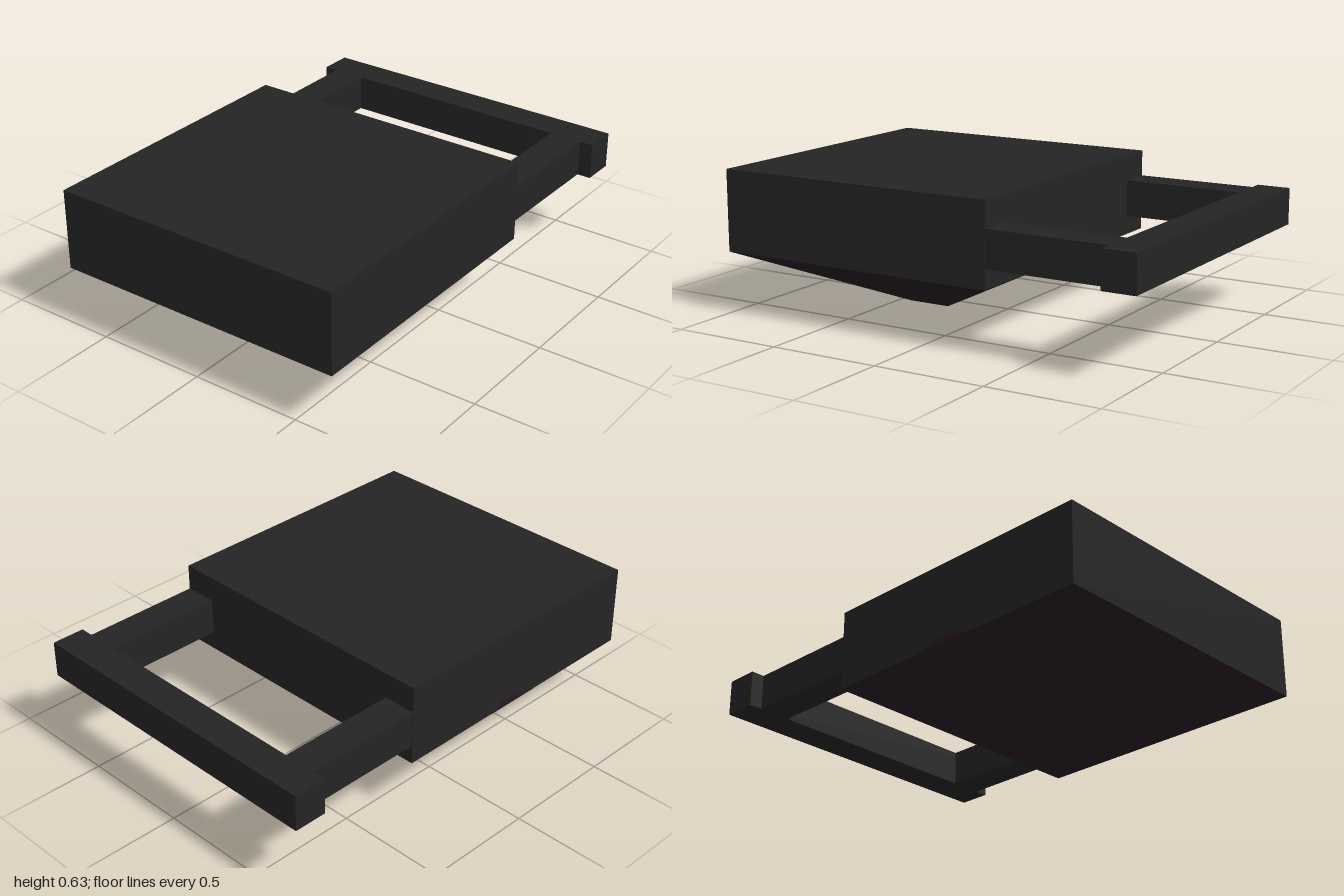
import * as THREE from 'three';

export function createModel() {
  const model = new THREE.Group();
  const charcoal = new THREE.MeshStandardMaterial({ color: 0x242424 });
  charcoal.name = 'charcoal';
  const plum = new THREE.MeshStandardMaterial({ color: 0x251b23, flatShading: true });
  plum.name = 'dark plum';

  const add = (name, geometry, material) => {
    const mesh = new THREE.Mesh(geometry, material);
    mesh.name = name;
    model.add(mesh);
    return mesh;
  };
  // Box given by its lower and upper limits on each axis
  const box = (name, [x0, x1], [y0, y1], [z0, z1]) =>
    add(name, new THREE.BoxGeometry(x1 - x0, y1 - y0, z1 - z0), charcoal)
      .position.set((x0 + x1) / 2, (y0 + y1) / 2, (z0 + z1) / 2);

  // Main body
  box('body', [-0.677, 0.677], [0.272, 0.635], [-0.305, 1]);

  // Rear handle: two arms and a wider cross bar
  const handleY = [0.357, 0.52];
  box('leftArm', [0.527, 0.675], handleY, [-0.85, -0.305]);
  box('rightArm', [-0.675, -0.527], handleY, [-0.85, -0.305]);
  box('handleBar', [-0.737, 0.737], handleY, [-1, -0.85]);

  // Four-sided funnel tapering to a small square foot
  const funnel = new THREE.CylinderGeometry(Math.SQRT1_2, Math.SQRT1_2 * 0.15, 0.272, 4);
  funnel.rotateY(Math.PI / 4);
  funnel.scale(1.354, 1, 1.305);
  add('funnel', funnel, plum).position.set(0, 0.136, 0.3475);

  // Small thin peak on the right side, just above the funnel
  const peak = new THREE.Shape([
    new THREE.Vector2(0.18, 0.272), new THREE.Vector2(0.46, 0.272),
    new THREE.Vector2(0.32, 0.308), new THREE.Vector2(0.25, 0.308),
  ]);
  const plate = new THREE.ExtrudeGeometry(peak, { depth: 0.002, bevelEnabled: false });
  plate.rotateY(-Math.PI / 2);
  add('sidePeak', plate, plum).position.x = -0.6765;

  return model;
}
